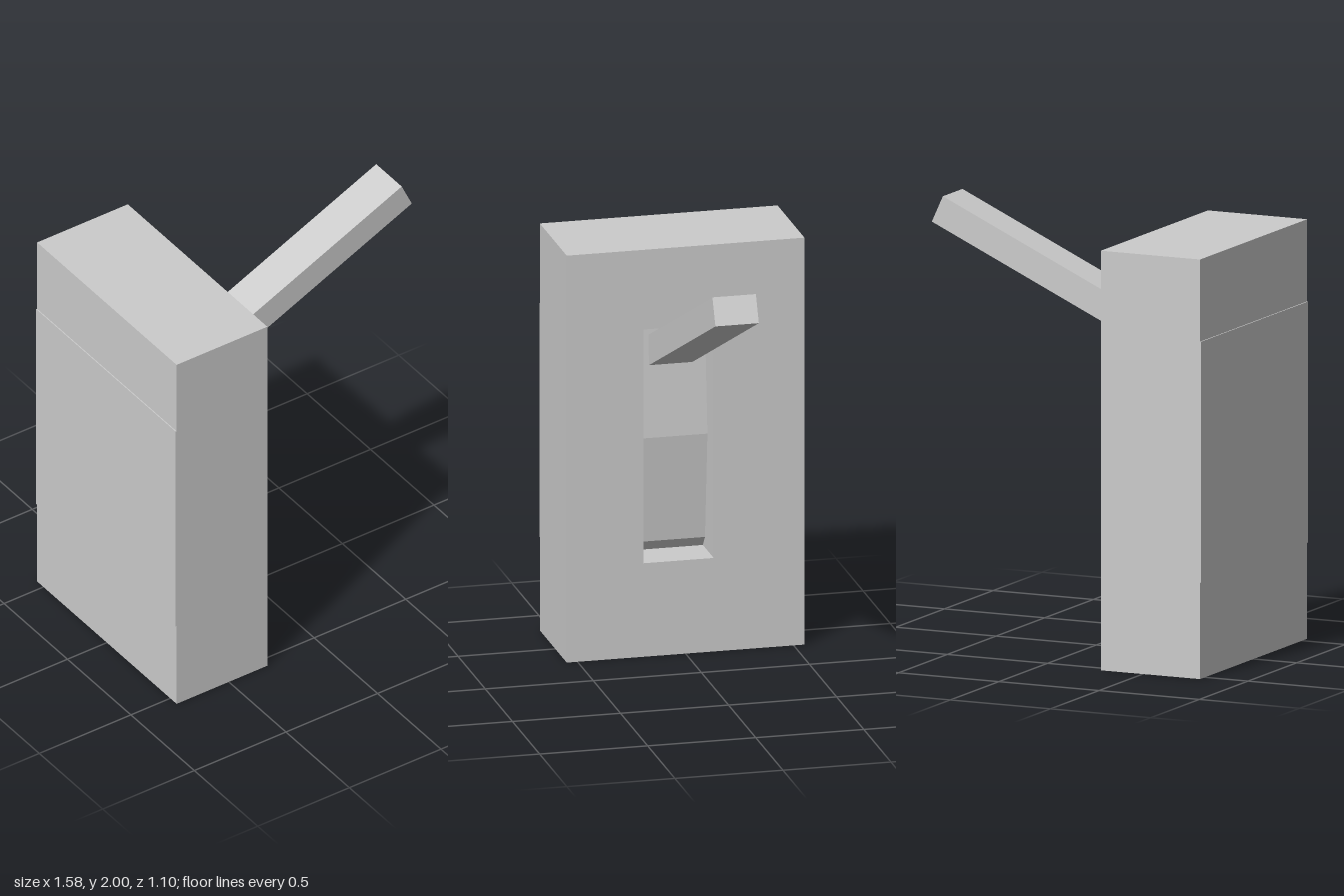
import * as THREE from 'three';

const material = new THREE.MeshStandardMaterial({ color: 0xcccccc, flatShading: true });

const BACK = -0.785, FRONT = -0.29;
const SLOT = { bottom: 0.44, top: 1.54, zMin: -0.13, zMax: 0.195 };

function addMesh(group, name, geometry) {
  const mesh = new THREE.Mesh(geometry, material);
  mesh.name = name;
  group.add(mesh);
  return mesh;
}

// Polygon from [x, y] pairs
const polygon = (points) => new THREE.Shape(points.map(([x, y]) => new THREE.Vector2(x, y)));

// Side profile in x/y, extruded between two z values
function extrudeZ(points, zMin, zMax) {
  const geometry = new THREE.ExtrudeGeometry(polygon(points), { depth: zMax - zMin, bevelEnabled: false });
  return geometry.translate(0, 0, zMin);
}

const rectangle = (x0, y0, x1, y1) => [[x0, y0], [x1, y0], [x1, y1], [x0, y1]];

export function createModel() {
  const group = new THREE.Group();
  group.name = 'leverSwitch';

  // Housing with a tall slot through it; shape x becomes -z when turned
  const face = polygon(rectangle(-0.55, 0, 0.55, 1.915));
  face.holes.push(polygon(rectangle(-SLOT.zMax, SLOT.bottom, -SLOT.zMin, SLOT.top)));
  const housing = new THREE.ExtrudeGeometry(face, { depth: FRONT - BACK, bevelEnabled: false });
  housing.rotateY(Math.PI / 2).translate(BACK, 0, 0);
  addMesh(group, 'housing', housing);

  // Gently ridged rocker filling the back of the slot
  const rocker = [
    [BACK, SLOT.bottom], [-0.49, SLOT.bottom], [-0.45, 0.49], [-0.405, 0.99],
    [-0.45, 1.49], [-0.49, SLOT.top], [BACK, SLOT.top],
  ];
  addMesh(group, 'rocker', extrudeZ(rocker, SLOT.zMin, SLOT.zMax));

  // Very thin plate across the back
  const plate = rectangle(-0.79, SLOT.bottom, BACK, SLOT.top);
  addMesh(group, 'backPlate', extrudeZ(plate, -0.55, 0.55));

  // Lever rising out of the slot
  const lever = [[-0.47, 1.307], [0.787, 1.88], [0.732, 2], [-0.525, 1.427]];
  addMesh(group, 'lever', extrudeZ(lever, -0.068, 0.133));

  return group;
}
